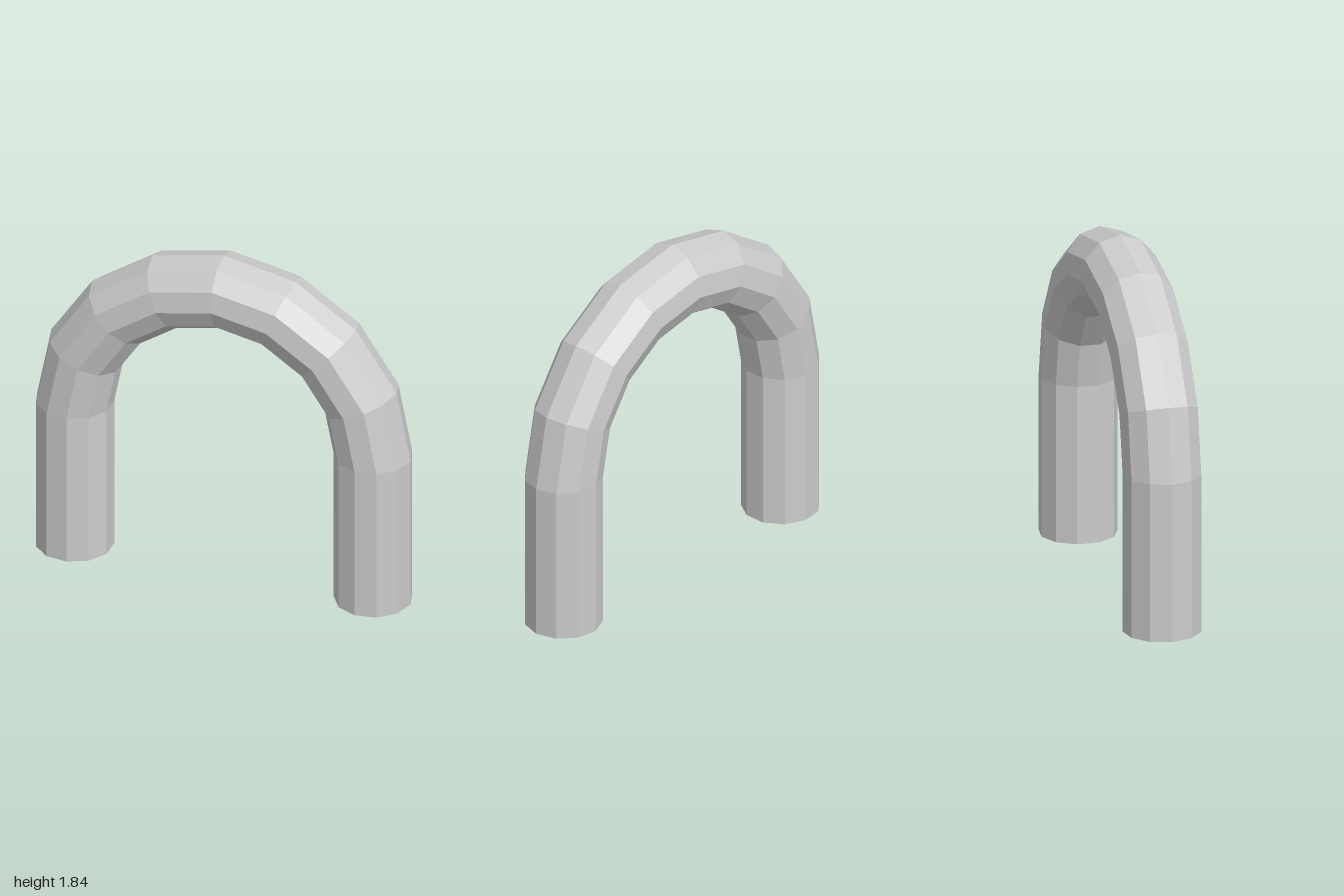
import * as THREE from 'three';

const SIDES = 11;        // sides of the pipe
const PIPE = 0.2;        // pipe radius
const BEND = 0.8;        // radius of the arch centre line
const LEG = 0.835;       // height of the straight legs

export function createModel() {
  const group = new THREE.Group();
  group.name = 'archedPipe';
  const material = new THREE.MeshStandardMaterial({ color: 0xcccccc, flatShading: true });

  const add = (name, geometry, x, y) => {
    const mesh = new THREE.Mesh(geometry, material);
    mesh.name = name;
    mesh.position.set(x, y, 0);
    group.add(mesh);
    return mesh;
  };

  // Half-ring bend on top
  add('archBend', new THREE.TorusGeometry(BEND, PIPE, SIDES, 8, Math.PI), 0, LEG);

  // Straight legs with a corner of the pipe facing outward, closed underneath
  for (const [side, s] of [['left', 1], ['right', -1]]) {
    const leg = new THREE.CylinderGeometry(PIPE, PIPE, LEG, SIDES, 1, true, s * Math.PI / 2);
    add(side + 'Leg', leg, s * BEND, LEG / 2);

    const cap = new THREE.CircleGeometry(PIPE, SIDES, s > 0 ? 0 : Math.PI);
    add(side + 'LegEnd', cap.rotateX(Math.PI / 2), s * BEND, 0);
  }

  return group;
}
